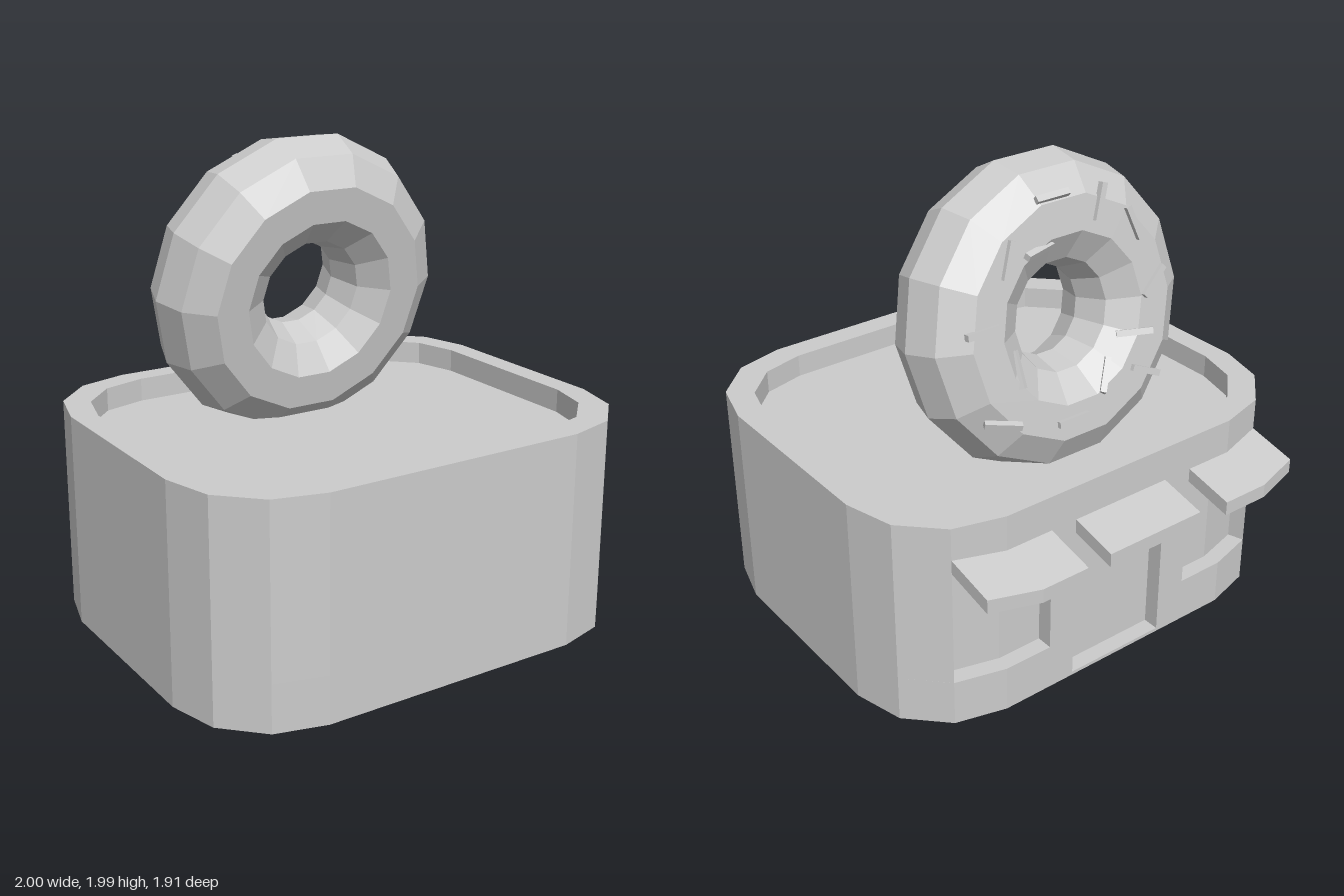
import * as THREE from 'three';

const material = new THREE.MeshStandardMaterial({ color: 0xcccccc, flatShading: true });

function addMesh(parent, name, geometry) {
  const mesh = new THREE.Mesh(geometry, material);
  mesh.name = name;
  parent.add(mesh);
  return mesh;
}

// Plan of a rounded rectangle as [x, z] points, ending along the back edge (-z).
function roundedPlan(halfX, halfZ, radius, middleZ) {
  const points = [];
  const corners = [[-1, -1, 180], [1, -1, 270], [1, 1, 0], [-1, 1, 90]];
  // Start after the back edge so that notches can be appended at the end.
  for (const [sx, sz, start] of [corners[1], corners[2], corners[3], corners[0]]) {
    for (let i = 0; i <= 3; i++) {
      const a = THREE.MathUtils.degToRad(start + i * 30);
      points.push([
        sx * (halfX - radius) + radius * Math.cos(a),
        middleZ + sz * (halfZ - radius) + radius * Math.sin(a),
      ]);
    }
  }
  return points;
}

const toVectors = (points) => points.map(([x, z]) => new THREE.Vector2(x, z));

// Upright slab with the given plan, from height y0 to y1.
function slab(points, y0, y1, hole) {
  const shape = new THREE.Shape(toVectors(points));
  if (hole) shape.holes.push(new THREE.Path(toVectors(hole)));
  const geometry = new THREE.ExtrudeGeometry(shape, { depth: y1 - y0, bevelEnabled: false });
  return geometry.rotateX(Math.PI / 2).translate(0, y1, 0);
}

export function createModel() {
  const model = new THREE.Group();
  model.name = 'shop';

  // Walls: stacked slabs whose plans are notched for the door and windows
  const plan = roundedPlan(1, 0.845, 0.425, 0.105);
  const roofPlan = roundedPlan(0.9, 0.74, 0.37, 0.1);
  const doorNotch = [[-0.225, -0.74], [-0.225, -0.67], [0.24, -0.67], [0.24, -0.74]];
  const leftWindow = [[0.36, -0.74], [0.36, -0.67], [0.56, -0.67], [0.765, -0.615]];
  const rightWindow = leftWindow.map(([x, z]) => [-x, z]).reverse();

  // The window notches replace the back-edge corners of the plan
  const windowPlan = [
    ...plan.slice(1, 15), ...rightWindow, ...doorNotch, ...leftWindow, [0.787, -0.683],
  ];
  // Points 1..14 begin and end at the outer window jambs; drop the duplicated start
  windowPlan.shift();

  const walls = new THREE.Group();
  walls.name = 'walls';
  model.add(walls);
  addMesh(walls, 'base', slab(plan, 0, 0.015));
  addMesh(walls, 'lowerWall', slab([...plan, ...doorNotch], 0.015, 0.2));
  addMesh(walls, 'windowWall', slab(windowPlan, 0.2, 0.7));
  addMesh(walls, 'upperWall', slab(plan, 0.7, 0.81));
  addMesh(walls, 'parapet', slab(plan, 0.81, 0.91, roofPlan));

  // Sloping awnings over the door and windows
  function awning(name, points) {
    const geometry = slab(points, 0.71, 0.77);
    const p = geometry.attributes.position;
    for (let i = 0; i < p.count; i++) p.setY(i, p.getY(i) + 0.23 * (p.getZ(i) + 0.69));
    geometry.computeVertexNormals();
    addMesh(model, name, geometry);
  }
  const sidePlan = [
    [0.36, -0.74], [0.575, -0.74], [0.787, -0.683],
    [0.787, -0.9], [0.575, -0.957], [0.36, -0.957],
  ];
  awning('doorAwning', [[-0.225, -0.74], [0.24, -0.74], [0.24, -0.945], [-0.225, -0.945]]);
  awning('leftAwning', sidePlan);
  awning('rightAwning', sidePlan.map(([x, z]) => [-x, z]));

  // Leaning ring on the roof
  const R = 0.418, r = 0.232;
  const ring = new THREE.Group();
  ring.name = 'roofRing';
  ring.position.set(-0.015, 1.37, -0.19);
  ring.rotation.x = THREE.MathUtils.degToRad(10);
  model.add(ring);
  addMesh(ring, 'ringBody', new THREE.TorusGeometry(R, r, 10, 14));

  // Sprinkles on the back of the ring: x, y, turn in degrees
  const sprinkles = [
    [0.05, 0.5, 0], [0.29, 0.31, -70], [0.14, 0.31, 0], [-0.17, 0.43, -70],
    [0.44, 0.07, 0], [-0.33, 0.31, 70], [0.28, -0.13, -80], [-0.41, 0.05, -42],
    [0.39, -0.32, 8], [-0.3, -0.14, 5], [-0.14, -0.28, -60], [0.06, -0.4, 0],
    [-0.33, -0.31, 25],
  ];
  const back = new THREE.Vector3(0, 0, -1);
  const bar = new THREE.BoxGeometry(0.15, 0.026, 0.026);
  for (const [x, y, turn] of sprinkles) {
    const radius = Math.hypot(x, y);
    const offset = radius - R;
    const past = Math.max(0, Math.abs(offset) - 0.072);
    const lean = past > 0 ? Math.sign(offset) * Math.tan(Math.PI / 5) : 0;
    const normal = new THREE.Vector3((x / radius) * lean, (y / radius) * lean, -1).normalize();
    const sprinkle = addMesh(ring, 'sprinkle', bar);
    sprinkle.position.set(x, y, -0.226 + past * Math.tan(Math.PI / 5));
    sprinkle.quaternion.setFromUnitVectors(back, normal);
    sprinkle.rotateZ(THREE.MathUtils.degToRad(turn));
  }

  return model;
}
